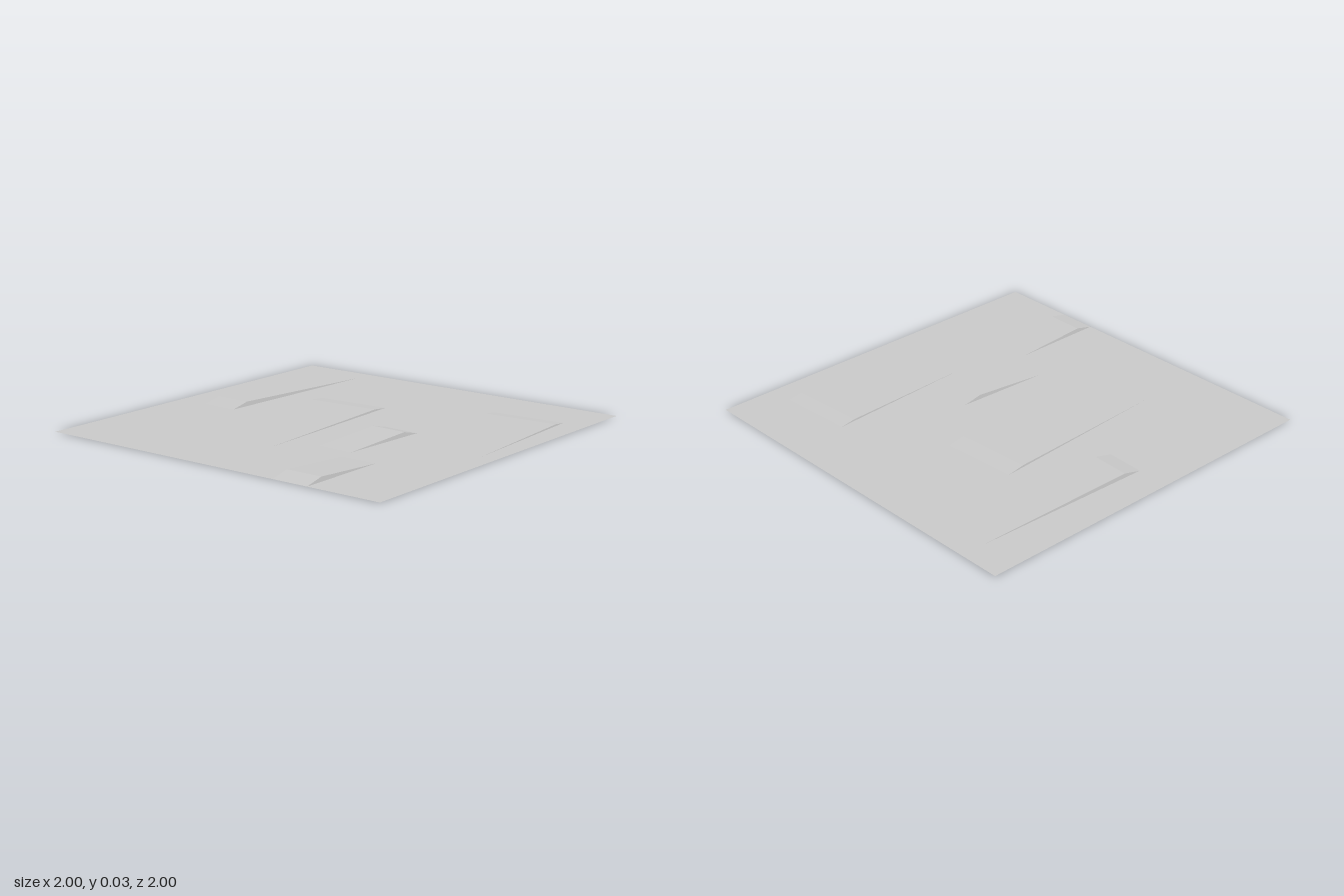
import * as THREE from 'three';

export function createModel() {
  const model = new THREE.Group();
  const grey = new THREE.MeshStandardMaterial({ color: 0xcccccc });
  grey.name = 'light grey';
  grey.side = THREE.DoubleSide;
  const GROUND = 0.002;

  // Flat square sheet
  const ground = new THREE.Mesh(new THREE.PlaneGeometry(2, 2).rotateX(-Math.PI / 2), grey);
  ground.name = 'ground';
  ground.position.y = GROUND;
  model.add(ground);

  // Wedge with a long rise and a short drop at its high end (local +z)
  function addRamp(name, x, z, width, length, height, heading, base) {
    const h = length / 2;
    const profile = new THREE.Shape();
    profile.moveTo(-h, 0);
    profile.lineTo(h, 0);
    profile.lineTo(h - 0.1, height);
    profile.closePath();
    const geometry = new THREE.ExtrudeGeometry(profile, { depth: width, bevelEnabled: false });
    geometry.translate(0, 0, -width / 2).rotateY(-Math.PI / 2);
    const ramp = new THREE.Mesh(geometry, grey);
    ramp.name = name;
    ramp.position.set(x, base, z);
    ramp.rotation.y = heading;
    model.add(ramp);
  }

  const base = GROUND + 0.0005;
  addRamp('longNarrowRamp', -0.705, -0.4, 0.2, 1, 0.024, -0.04, base);
  addRamp('middleWideRamp', -0.2, 0.1, 0.4, 1, 0.011, Math.PI + 0.06, base);
  addRamp('backWideRamp', 0.695, -0.21, 0.4, 1, 0.0115, Math.PI + 0.06, 0);
  addRamp('middleShortRamp', 0.302, 0.168, 0.2, 0.5, 0.024, Math.PI - 0.05, base);
  addRamp('frontShortRamp', 0.5, 0.75, 0.2, 0.5, 0.024, 0, base);
  return model;
}
